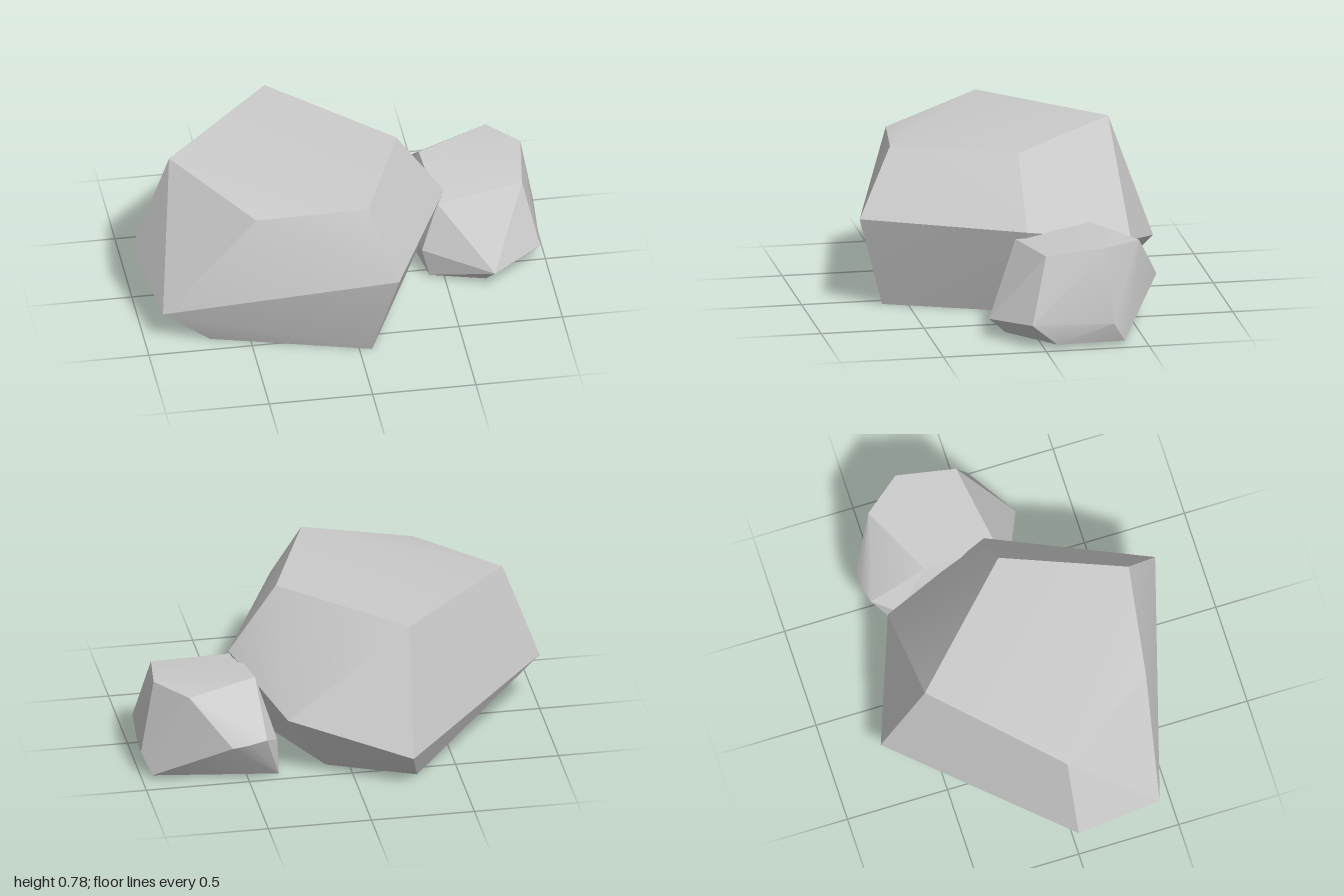
import * as THREE from 'three';
import { ConvexGeometry } from 'three/addons/geometries/ConvexGeometry.js';
import { toCreasedNormals } from 'three/addons/utils/BufferGeometryUtils.js';

// Faceted boulder spanned by its corner points; only shallow folds are smoothed
function boulder(name, rings) {
  const corners = rings.flat().map((p) => new THREE.Vector3(...p));
  const geometry = toCreasedNormals(new ConvexGeometry(corners), 0.35);
  const mesh = new THREE.Mesh(geometry, new THREE.MeshStandardMaterial({ color: 0xcccccc }));
  mesh.name = name;
  return mesh;
}

export function createModel() {
  const group = new THREE.Group();
  group.name = 'rocks';

  group.add(boulder('largeRock', [
    // top
    [[-0.82, 0.78, 0], [-0.27, 0.78, -0.54], [0.28, 0.78, 0], [0.05, 0.78, 0.58], [-0.48, 0.72, 0.5]],
    // girdle
    [[-1, 0.29, 0], [-0.92, 0.18, 0.43], [0.17, 0.46, 0.75], [0.51, 0.45, 0], [0.32, 0.33, -0.54], [-0.25, 0.18, -0.755]],
    // base
    [[-0.69, 0, 0.41], [0.06, 0, 0.62], [0.3, 0, 0.02], [0.11, 0, -0.39], [-0.3, 0, -0.57]],
  ]));

  group.add(boulder('smallRock', [
    // top
    [[0.44, 0.465, -0.32], [0.79, 0.47, -0.49], [0.93, 0.48, -0.31], [0.89, 0.44, -0.02], [0.47, 0.41, 0.05]],
    // girdle
    [[0.39, 0.17, 0.08], [0.72, 0.095, 0.225], [0.965, 0.12, 0.06], [0.995, 0.12, -0.33],
      [0.6, 0.24, -0.61], [0.52, 0.25, -0.61], [0.43, 0.26, -0.59], [0.36, 0.2, -0.47]],
    // base
    [[0.43, 0.01, 0.06], [0.69, 0.015, 0.14], [0.96, 0.02, -0.06], [0.95, 0.02, -0.39], [0.35, 0.01, -0.46]],
  ]));

  return group;
}
